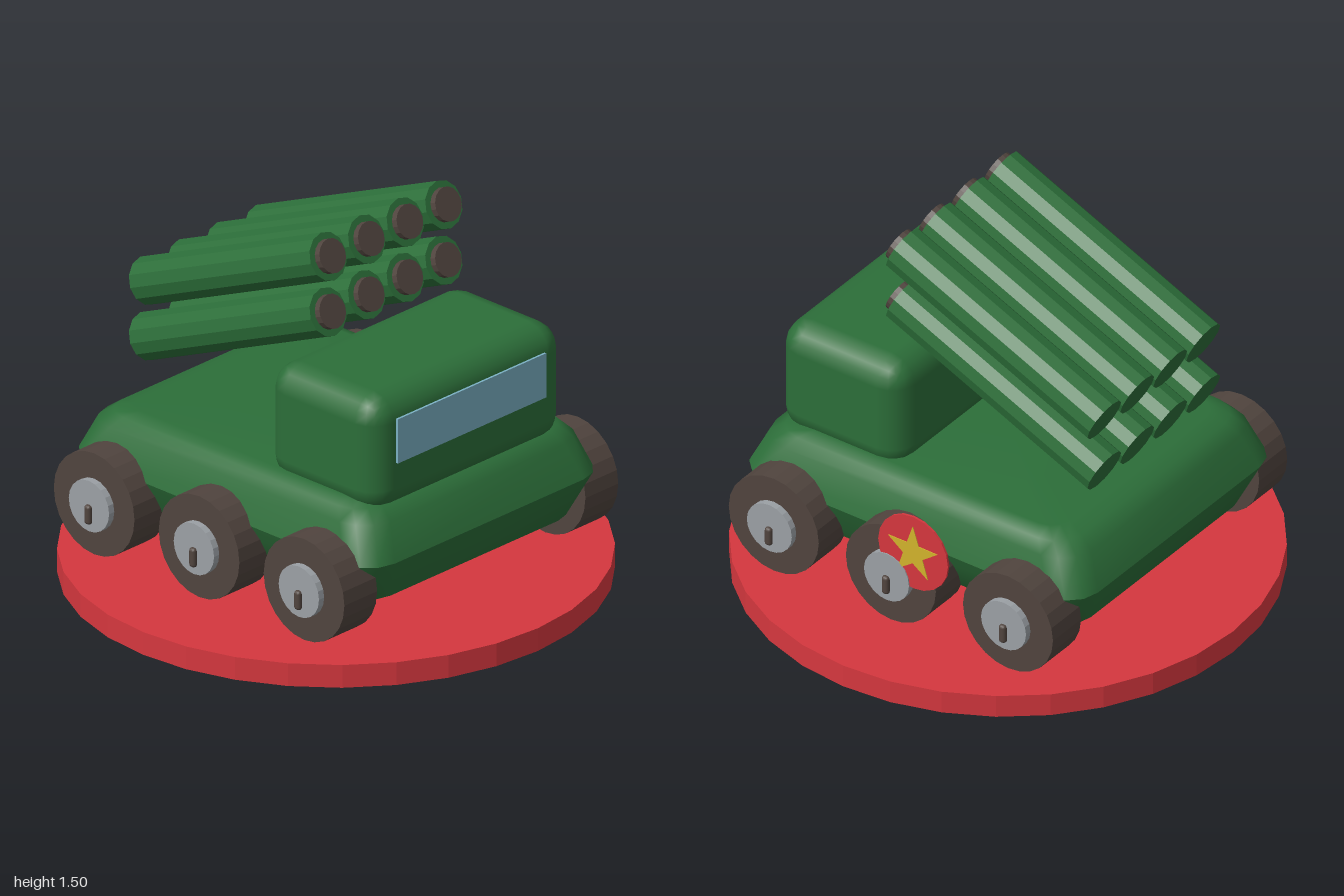
import * as THREE from 'three';
import { toCreasedNormals } from 'three/addons/utils/BufferGeometryUtils.js';
import { RoundedBoxGeometry } from 'three/addons/geometries/RoundedBoxGeometry.js';

const paint = (name, color) => {
  const m = new THREE.MeshStandardMaterial({ color });
  m.name = name;
  return m;
};

// Cylinder with faceted sides
const facetedCylinder = (r, h, sides) =>
  toCreasedNormals(new THREE.CylinderGeometry(r, r, h, sides), 0.1);

// Stacked rounded rectangles [y, half width, half depth, corner radius];
// a repeated level makes a hard edge
function loftHull(levels) {
  const pos = [], index = [], steps = 3, n = 4 * (steps + 1);
  for (const [y, hx, hz, r] of levels) {
    for (let q = 0; q < 4; q++) {
      for (let s = 0; s <= steps; s++) {
        const a = (q + s / steps) * Math.PI / 2;
        const sx = q === 0 || q === 3 ? 1 : -1, sz = q < 2 ? -1 : 1;
        pos.push(sx * (hx - r) + r * Math.cos(a), y, sz * (hz - r) - r * Math.sin(a));
      }
    }
  }
  const last = levels.length - 1;
  const bottom = pos.length / 3, top = bottom + 1;
  pos.push(0, levels[0][0], 0, 0, levels[last][0], 0);
  for (let i = 0; i < n; i++) {
    const j = (i + 1) % n;
    for (let k = 0; k < last; k++) {
      if (levels[k][0] === levels[k + 1][0]) continue;
      const a = k * n + i, b = k * n + j;
      index.push(a, b, b + n, a, b + n, a + n);
    }
    index.push(bottom, j, i, top, last * n + i, last * n + j);
  }
  const geo = new THREE.BufferGeometry();
  geo.setAttribute('position', new THREE.Float32BufferAttribute(pos, 3));
  geo.setIndex(index);
  geo.computeVertexNormals();
  return geo;
}

export function createModel() {
  const model = new THREE.Group();
  model.name = 'rocketTruck';
  const red = paint('red', 0xd5373e);
  const green = paint('green', 0x2c6e39);
  const brown = paint('dark brown', 0x50443e);
  const grey = paint('grey', 0x9ba0a5);
  const blue = paint('window blue', 0x7ab0c3);
  const yellow = paint('yellow', 0xd2b32c);

  const add = (name, geo, mat, x = 0, y = 0, z = 0, parent = model) => {
    const mesh = new THREE.Mesh(geo, mat);
    mesh.name = name;
    mesh.position.set(x, y, z);
    parent.add(mesh);
    return mesh;
  };

  // Round stand
  add('stand', facetedCylinder(1, 0.09, 32), red, 0, 0.045, 0);

  // Hull, widest at mid height
  add('hull', loftHull([
    [0.24, 0.49, 0.61, 0.08],
    [0.265, 0.545, 0.685, 0.11],
    [0.435, 0.62, 0.76, 0.13],
    [0.435, 0.62, 0.76, 0.13],
    [0.57, 0.58, 0.7, 0.13],
    [0.61, 0.545, 0.645, 0.11],
    [0.63, 0.49, 0.575, 0.08],
  ]), green);

  // Cab and windscreen
  add('cab', new RoundedBoxGeometry(1, 0.46, 0.55, 2, 0.1), green, 0, 0.8, 0.395);
  add('windscreen', new THREE.BoxGeometry(0.77, 0.175, 0.009), blue, -0.005, 0.858, 0.6745);

  // Wheels with hubs and bolts, three on each side
  const tyreGeo = facetedCylinder(0.2, 0.17, 24).rotateZ(Math.PI / 2);
  const hubGeo = facetedCylinder(0.1, 0.04, 20).rotateZ(Math.PI / 2);
  const boltGeo = new RoundedBoxGeometry(0.035, 0.076, 0.03, 2, 0.012);
  for (const side of [1, -1]) {
    for (const z of [0.52, 0, -0.52]) {
      const wheel = new THREE.Group();
      wheel.name = side > 0 ? 'leftWheel' : 'rightWheel';
      wheel.position.set(side * 0.625, 0.33, z);
      add('tyre', tyreGeo, brown, 0, 0, 0, wheel);
      add('hub', hubGeo, grey, side * 0.092, 0, 0, wheel);
      add('bolt', boltGeo, brown, side * 0.11, -0.032, 0, wheel);
      model.add(wheel);
    }
  }

  // Round badge with a star on the left side
  const badge = new THREE.Group();
  badge.name = 'badge';
  badge.position.set(0.728, 0.48, -0.115);
  add('badgeDisc', facetedCylinder(0.155, 0.009, 20).rotateZ(Math.PI / 2), red, 0, 0, 0, badge);
  const star = new THREE.Shape(Array.from({ length: 10 }, (_, i) => {
    const r = i % 2 ? 0.045 : 0.115, a = Math.PI / 2 + i * Math.PI / 5;
    return new THREE.Vector2(r * Math.cos(a), r * Math.sin(a));
  }));
  const starGeo = new THREE.ExtrudeGeometry(star, { depth: 0.004, bevelEnabled: false });
  add('star', starGeo.rotateY(Math.PI / 2), yellow, 0.0035, 0, 0, badge);
  model.add(badge);

  // Two rows of four raised launch tubes
  const length = 0.975;
  const tubeGeo = facetedCylinder(0.09, length, 12).rotateX(Math.PI / 2);
  const muzzleGeo = facetedCylinder(0.064, 0.05, 16).rotateX(Math.PI / 2);
  for (const y of [1.227, 1.007]) {
    for (const x of [-0.3, -0.1, 0.1, 0.3]) {
      const launcher = new THREE.Group();
      launcher.name = 'launchTube';
      launcher.position.set(x, y, -0.2);
      launcher.rotation.x = -0.408;
      add('tube', tubeGeo, green, 0, 0, 0, launcher);
      add('muzzle', muzzleGeo, brown, 0, 0, length / 2, launcher);
      model.add(launcher);
    }
  }
  return model;
}
